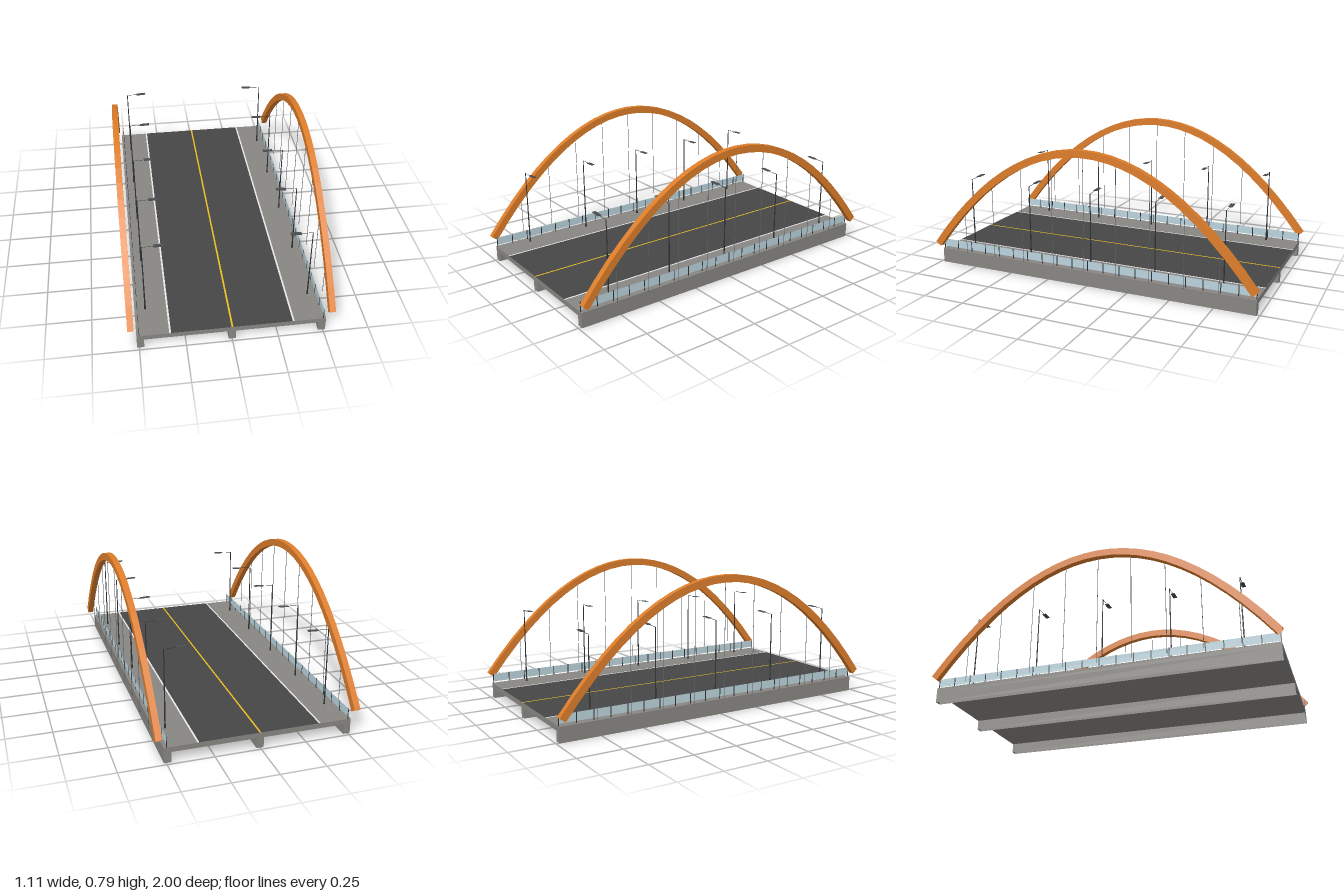
import * as THREE from 'three';

const paint = (name, color, side = THREE.FrontSide) => {
  const m = new THREE.MeshStandardMaterial({ color, side });
  m.name = name;
  return m;
};

const HALF = 0.983, LENGTH = 2 * HALF, TOP = 0.0865;
const BASE = 0.131, RISE = 0.642;
const archY = z => BASE + RISE * (1 - (z / HALF) ** 2);

// Square hollow arch, open at both feet, made of straight flat-sided segments
function archGeometry(segments, width, depth) {
  const rings = [];
  for (let i = 0; i <= segments; i++) {
    const z = -HALF + LENGTH * i / segments;
    const slope = -2 * RISE * z / HALF ** 2;
    const n = new THREE.Vector2(-slope, 1).normalize().multiplyScalar(depth / 2);
    const corner = (sx, sn) => [sx * width / 2, archY(z) + sn * n.y, z + sn * n.x];
    rings.push([corner(1, 1), corner(-1, 1), corner(-1, -1), corner(1, -1)]);
  }
  const points = [];
  for (let i = 0; i < segments; i++) {
    for (let k = 0; k < 4; k++) {
      const a = rings[i][k], b = rings[i][(k + 1) % 4];
      const c = rings[i + 1][(k + 1) % 4], d = rings[i + 1][k];
      points.push(...a, ...b, ...c, ...a, ...c, ...d);
    }
  }
  const g = new THREE.BufferGeometry();
  g.setAttribute('position', new THREE.Float32BufferAttribute(points, 3));
  g.computeVertexNormals();
  return g;
}

// Hollow beam: a box without its bottom face
function beamGeometry(w, h, d) {
  const g = new THREE.BoxGeometry(w, h, d);
  const index = Array.from(g.index.array);
  index.splice(18, 6);
  g.setIndex(index);
  g.clearGroups();
  return g;
}

export function createModel() {
  const concrete = paint('concrete', 0x888682, THREE.DoubleSide);
  const asphalt = paint('asphalt', 0x464646);
  const white = paint('white line', 0xffffff);
  const yellow = paint('yellow line', 0xf0c420);
  const orange = paint('orange steel', 0xdd7d2a, THREE.DoubleSide);
  const glass = paint('glass', 0xbad3dc, THREE.DoubleSide);
  const dark = paint('dark metal', 0x303236);
  const lampGrey = paint('lamp head grey', 0x4a4c50);
  const cable = paint('cable steel', 0x62666c);

  const bridge = new THREE.Group();
  bridge.name = 'archBridge';

  const add = (parent, name, geometry, material, x = 0, y = 0, z = 0) => {
    const mesh = new THREE.Mesh(geometry, material);
    mesh.name = name;
    mesh.position.set(x, y, z);
    parent.add(mesh);
    return mesh;
  };
  const box = (parent, name, w, h, d, material, x, y, z) =>
    add(parent, name, new THREE.BoxGeometry(w, h, d), material, x, y, z);
  const strip = (name, w, material, x, lift) => {
    const mesh = add(bridge, name, new THREE.PlaneGeometry(w, LENGTH), material, x, TOP + lift, 0);
    mesh.rotation.x = -Math.PI / 2;
  };

  // Deck slab with three beams underneath
  box(bridge, 'deckSlab', 1.024, 0.029, LENGTH, concrete, 0, TOP - 0.0145, 0);
  const beam = beamGeometry(0.039, 0.058, LENGTH);
  for (const x of [-0.4925, 0, 0.4925])
    add(bridge, 'deckBeam', beam, concrete, x, 0.029, 0);

  // Roadway and painted lines
  strip('roadway', 0.66, asphalt, 0, 0.0006);
  strip('centreLine', 0.01, yellow, 0, 0.0013);
  for (const s of [-1, 1]) strip('edgeLine', 0.01, white, s * 0.333, 0.0013);

  // Street lamp with its arm reaching towards -x
  const makeLamp = () => {
    const lamp = new THREE.Group();
    lamp.name = 'streetLamp';
    add(lamp, 'lampBase', new THREE.CylinderGeometry(0.004, 0.006, 0.025, 8), dark, 0, 0.0125, 0);
    add(lamp, 'lampPole', new THREE.CylinderGeometry(0.0025, 0.004, 0.442, 8), dark, 0, 0.221, 0);
    const arm = add(lamp, 'lampArm', new THREE.CylinderGeometry(0.0012, 0.0012, 0.09, 6), dark,
      -0.045, 0.4435, 0);
    arm.rotation.z = Math.PI / 2 - 0.045;
    const head = box(lamp, 'lampHead', 0.058, 0.003, 0.022, lampGrey, -0.092, 0.4455, 0);
    head.rotation.z = -0.045;
    return lamp;
  };

  const arch = archGeometry(24, 0.034, 0.041);
  for (const s of [-1, 1]) {
    const side = new THREE.Group();
    side.name = s > 0 ? 'leftSide' : 'rightSide';
    bridge.add(side);
    add(side, 'arch', arch, orange, s * 0.54);

    // Hangers from the arch to deck level
    for (let i = -4; i <= 4; i++) {
      const z = i * HALF / 5, h = archY(z) - 0.095;
      add(side, 'hanger', new THREE.CylinderGeometry(0.0016, 0.0016, h, 6), cable,
        s * 0.54, 0.095 + h / 2, z);
    }

    // Glass railing and its posts
    const pane = add(side, 'railingGlass', new THREE.PlaneGeometry(LENGTH, 0.047), glass,
      s * 0.497, 0.1215, 0);
    pane.rotation.y = s * Math.PI / 2;
    for (let i = -10; i <= 10; i++)
      box(side, 'railingPost', 0.0025, 0.059, 0.005, dark, s * 0.497, TOP + 0.0295, i * 0.098);

    // Lamps along the walkway
    for (let i = -2; i <= 2; i++) {
      const lamp = makeLamp();
      lamp.position.set(s * 0.453, TOP, i * HALF * 0.4);
      if (s < 0) lamp.rotation.y = Math.PI;
      side.add(lamp);
    }
  }
  return bridge;
}
